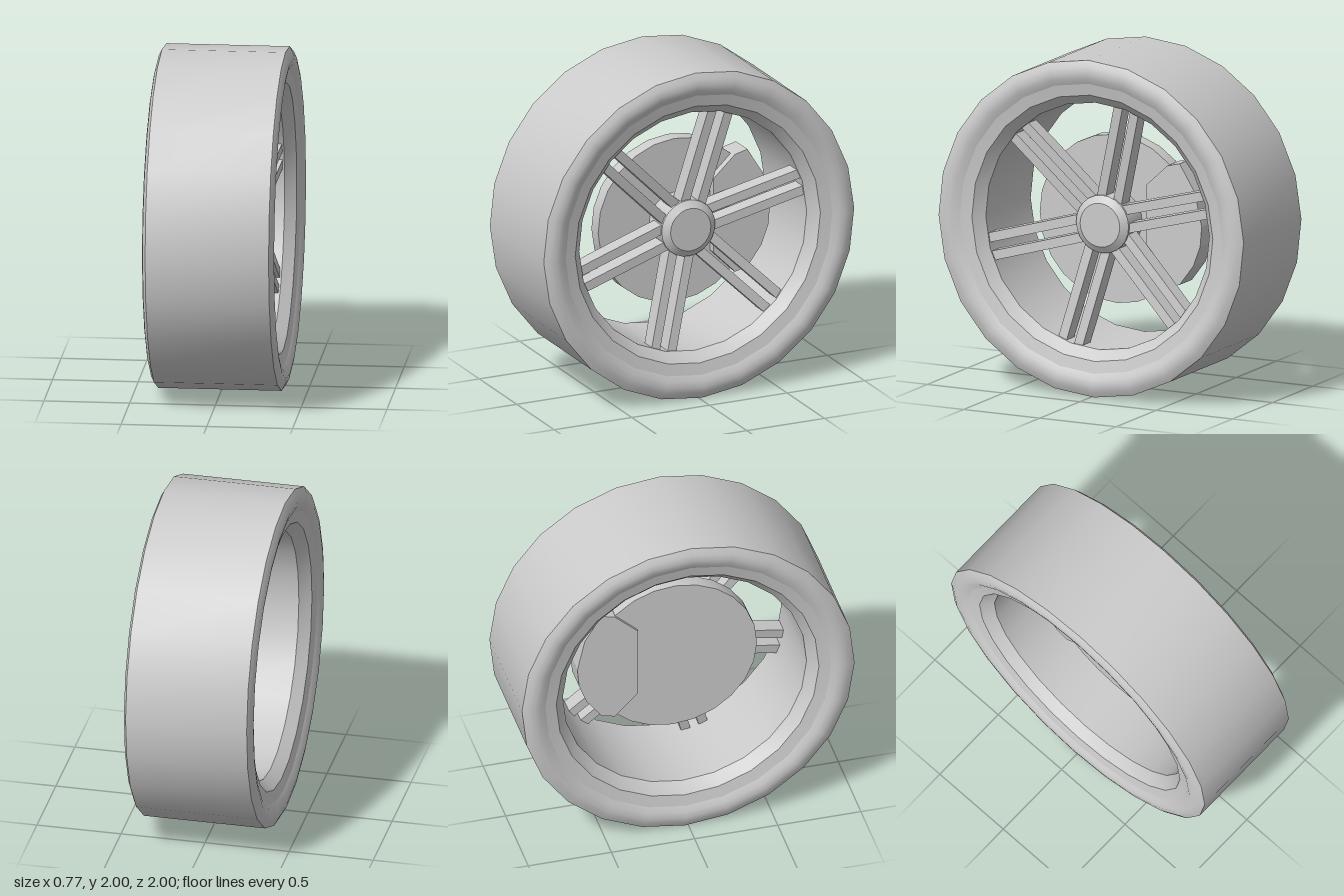
import * as THREE from 'three';
import { toCreasedNormals } from 'three/addons/utils/BufferGeometryUtils.js';

const SEGMENTS = 24;
const material = new THREE.MeshStandardMaterial({ color: 0xcccccc });

function addMesh(parent, name, geometry) {
  const mesh = new THREE.Mesh(geometry, material);
  mesh.name = name;
  parent.add(mesh);
  return mesh;
}

// Revolves [axial, radius] points around the x axis.
function revolve(points) {
  const profile = points.map(([axial, radius]) => new THREE.Vector2(radius, axial));
  const geometry = new THREE.LatheGeometry(profile, SEGMENTS);
  geometry.rotateZ(-Math.PI / 2).rotateX(0.02);
  return toCreasedNormals(geometry, 0.6);
}

function extrude(points, depth) {
  const shape = new THREE.Shape(points.map(([x, y]) => new THREE.Vector2(x, y)));
  return new THREE.ExtrudeGeometry(shape, { depth, bevelEnabled: false });
}

const mirrorProfile = (points) => points.map(([x, r]) => [-x, r]).reverse();

export function createModel() {
  const group = new THREE.Group();
  const wheel = new THREE.Group();
  wheel.name = 'wheel';
  wheel.position.y = 1;
  group.add(wheel);

  // Tyre: flat tread with rounded sidewalls on both sides
  const sidewall = [[0.36, 1], [0.378, 0.965], [0.385, 0.93], [0.378, 0.895], [0.36, 0.86]];
  addMesh(wheel, 'tyre', revolve([...mirrorProfile(sidewall), ...sidewall]));

  // Rim: lips at both ends and a smooth inner barrel
  const lip = [[0.36, 0.86], [0.345, 0.79], [0.28, 0.733]];
  addMesh(wheel, 'rim', revolve([...lip, ...mirrorProfile(lip)]));

  // Six pairs of parallel spokes, bending outward towards the rim
  const spokeProfile = [
    [0.1, 0.1], [0.2, 0.1], [0.25, 0.55], [0.275, 0.765], [0.18, 0.765], [0.15, 0.55],
  ];
  const width = 0.056;
  const spokeGeometry = extrude(spokeProfile, width).translate(0, 0, -width / 2);
  for (let i = 0; i < 6; i++) {
    const pair = new THREE.Group();
    pair.name = 'spokePair';
    pair.rotation.x = -THREE.MathUtils.degToRad(14.5 + i * 60);
    for (const side of [-1, 1]) {
      addMesh(pair, 'spoke', spokeGeometry).position.z = side * 0.054;
    }
    wheel.add(pair);
  }

  // Hub with bevelled cap, reaching back to the brake disc
  addMesh(wheel, 'hub', revolve([
    [0.02, 0], [0.02, 0.172], [0.22, 0.172], [0.25, 0.13], [0.25, 0],
  ]));

  // Brake disc
  addMesh(wheel, 'brakeDisc', revolve([[-0.04, 0], [-0.04, 0.5], [0.05, 0.5], [0.05, 0]]));

  // Brake caliper wrapping the rear edge of the disc
  const caliper = extrude([
    [0.22, -0.22], [0.36, -0.36], [0.44, -0.34], [0.53, -0.22], [0.575, -0.1],
    [0.585, 0.02], [0.54, 0.22], [0.44, 0.38], [0.36, 0.36], [0.22, 0.23],
  ], 0.155);
  caliper.rotateY(Math.PI / 2).translate(-0.06, 0, 0);
  addMesh(wheel, 'brakeCaliper', caliper);

  return group;
}
